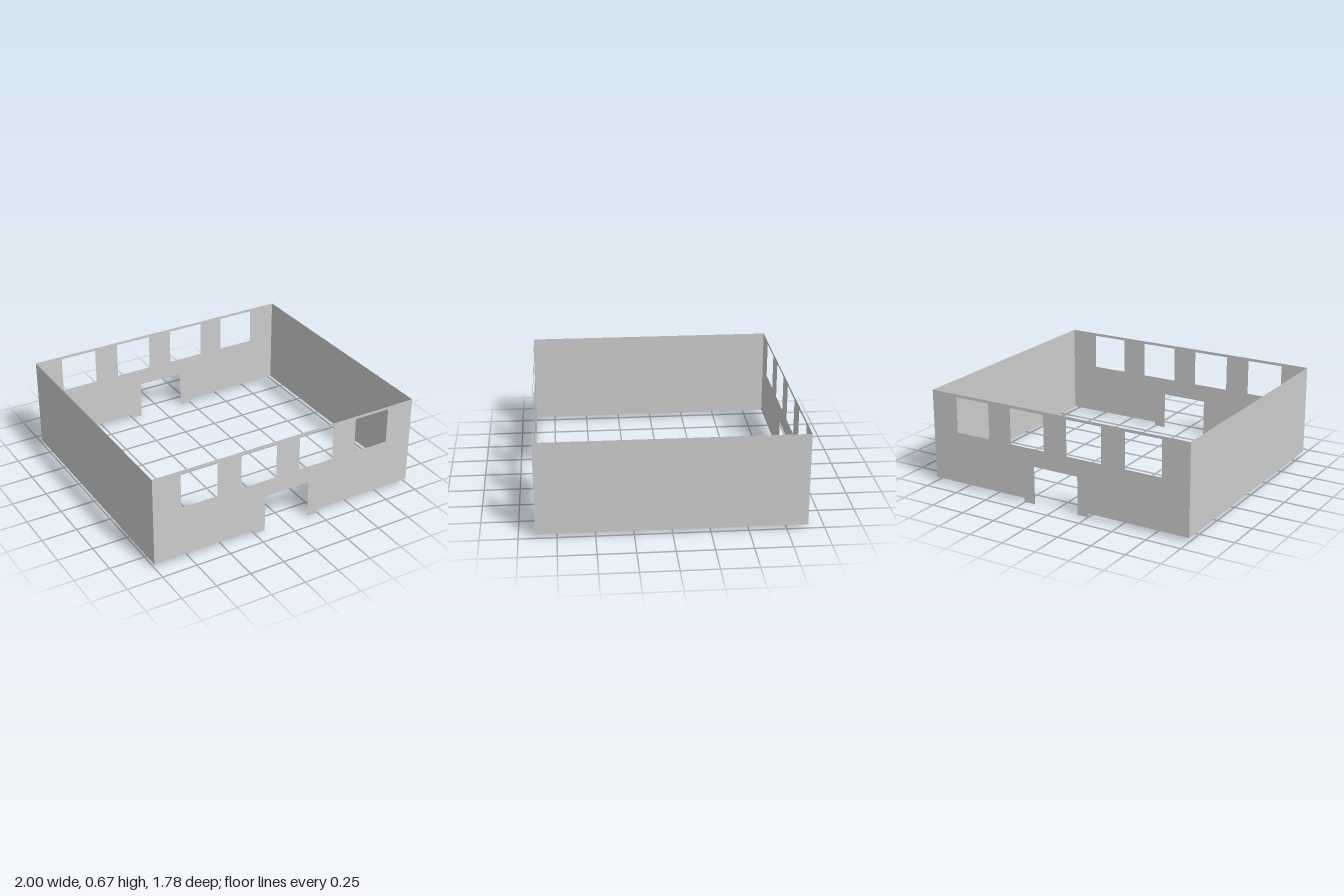
import * as THREE from 'three';

const W = 1, D = 0.89, TOP = 0.67, BASE = 0.028;
const material = new THREE.MeshStandardMaterial({ color: 0xcccccc, side: THREE.DoubleSide, flatShading: true });

function rectPath(x0, y0, x1, y1) {
  return new THREE.Path([[x0, y0], [x0, y1], [x1, y1], [x1, y0]].map(p => new THREE.Vector2(...p)));
}

// Long wall: doorway with short jamb feet, and four windows
function windowWallGeometry() {
  const half = [[0.17, 0.27], [0.17, 0], [0.255, 0], [0.255, BASE], [W, BASE], [W, TOP]];
  const mirrored = half.map(([x, y]) => [-x, y]).reverse();
  const shape = new THREE.Shape([...half, ...mirrored].map(p => new THREE.Vector2(...p)));
  for (const x of [-0.666, -0.222, 0.222, 0.666]) {
    shape.holes.push(rectPath(x - 0.133, 0.395, x + 0.133, 0.65));
  }
  return new THREE.ShapeGeometry(shape);
}

export function createModel() {
  const group = new THREE.Group();
  group.name = 'buildingWalls';
  const add = (name, geometry, x, z, turn) => {
    const mesh = new THREE.Mesh(geometry, material);
    mesh.name = name;
    mesh.position.set(x, 0, z);
    mesh.rotation.y = turn;
    group.add(mesh);
  };

  // Front and back walls
  const longWall = windowWallGeometry();
  add('frontWall', longWall, 0, D, 0);
  add('backWall', longWall, 0, -D, Math.PI);

  // Plain side walls
  const sideWall = new THREE.PlaneGeometry(2 * D, TOP - BASE).translate(0, (TOP + BASE) / 2, 0);
  add('leftWall', sideWall, W, 0, Math.PI / 2);
  add('rightWall', sideWall, -W, 0, -Math.PI / 2);

  return group;
}
